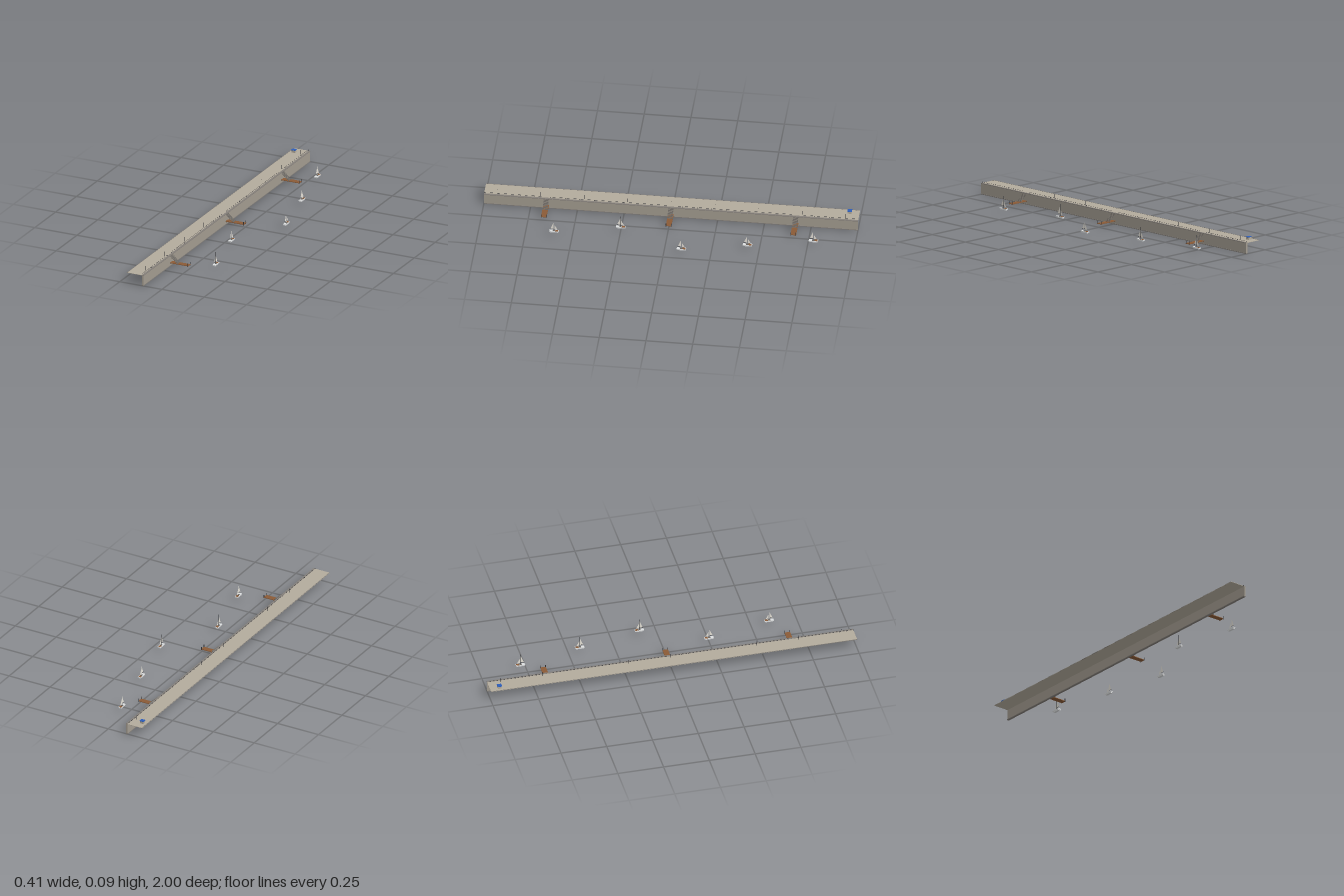
import * as THREE from 'three';

const mat = (name, color, side = THREE.FrontSide) => {
  const m = new THREE.MeshStandardMaterial({ color, side });
  m.name = name;
  return m;
};

export function createModel() {
  const root = new THREE.Group();
  root.name = 'harbourQuay';
  const stone = mat('quay stone', 0xb3ab9c);
  const wallStone = mat('wall stone', 0xa39c90);
  const coping = mat('coping stone', 0x85807a);
  const iron = mat('dark iron', 0x35363a);
  const wood = mat('pier wood', 0x8a5a36);
  const stepStone = mat('step stone', 0x6f6b66);
  const blue = mat('kiosk blue', 0x2c5cb8);
  const white = mat('hull white', 0xdcdedf);
  const canvas = mat('sail canvas', 0xe6e2d8, THREE.DoubleSide);

  const add = (parent, name, geometry, material, x = 0, y = 0, z = 0) => {
    const mesh = new THREE.Mesh(geometry, material);
    mesh.name = name;
    mesh.position.set(x, y, z);
    parent.add(mesh);
    return mesh;
  };
  // Box given by its extents along x and y, and its centre and length along z
  const box = (parent, name, material, x0, x1, y0, y1, z, depth) =>
    add(parent, name, new THREE.BoxGeometry(x1 - x0, y1 - y0, depth), material, (x0 + x1) / 2, (y0 + y1) / 2, z);
  const rod = (parent, name, material, r, x, y0, y1, z) =>
    add(parent, name, new THREE.CylinderGeometry(r, r, y1 - y0, 8), material, x, (y0 + y1) / 2, z);
  const group = (name, x, z) => {
    const g = new THREE.Group();
    g.name = name;
    g.position.set(x, 0, z);
    root.add(g);
    return g;
  };

  // Promenade and quay wall
  box(root, 'promenade', stone, -0.207, -0.116, 0.0585, 0.0605, 0, 2);
  box(root, 'promenadeBackKerb', coping, -0.207, -0.2045, 0.0585, 0.0612, 0, 2);
  box(root, 'quayWall', wallStone, -0.118, -0.11, 0.003, 0.059, 0, 2);
  box(root, 'wallFooting', coping, -0.12, -0.108, 0, 0.004, 0, 2);
  box(root, 'wallCoping', coping, -0.119, -0.108, 0.0585, 0.0615, 0, 2);

  // Low railing along the quay edge, open where the stairs go down
  const stairs = [-0.667, 0, 0.667];
  const railX = -0.121;
  [[-1, -0.69], [-0.645, -0.022], [0.022, 0.645], [0.69, 1]].forEach(([a, b]) => {
    box(root, 'railing', iron, railX - 0.0004, railX + 0.0004, 0.0655, 0.0663, (a + b) / 2, b - a);
    const count = Math.round((b - a) / 0.04);
    for (let i = 0; i <= count; i++) {
      box(root, 'railingPost', iron, railX - 0.0004, railX + 0.0004, 0.06, 0.066, a + 0.001 + (b - a - 0.002) * i / count, 0.0008);
    }
  });

  // Street lamps
  for (let i = -4; i <= 4; i++) {
    const lamp = group('streetLamp', -0.132, i * 0.233);
    rod(lamp, 'lampPost', iron, 0.0008, 0, 0.06, 0.083, 0);
    add(lamp, 'lampHead', new THREE.SphereGeometry(0.0016, 10, 8), iron, 0, 0.0835, 0);
  }

  // Kiosk at the far end
  const kiosk = group('kiosk', -0.18, -0.948);
  box(kiosk, 'kioskWalls', stone, -0.0105, 0.0105, 0.06, 0.0735, 0, 0.02);
  box(kiosk, 'kioskRoof', blue, -0.0125, 0.0125, 0.0735, 0.0755, 0, 0.024);

  // Stairs and jetties
  stairs.forEach((z) => {
    const jetty = group('jetty', 0, z);
    for (let i = 0; i < 9; i++) {
      const x = -0.109 + i * 0.0047;
      const y = 0.057 - i * 0.0043;
      box(jetty, 'stairTread', stepStone, x, x + 0.0065, y - 0.0016, y, 0, 0.028);
    }
    box(jetty, 'jettyDeck', wood, -0.11, -0.002, 0.0175, 0.0205, 0, 0.03);
    [-1, 1].forEach((s) => {
      rod(jetty, 'innerPile', iron, 0.0015, -0.1065, 0.014, 0.018, s * 0.0125);
      rod(jetty, 'outerPile', iron, 0.0017, -0.004, 0.0145, 0.033, s * 0.0135);
    });
  });

  // Sailing boats moored in a staggered line
  const triangle = (points) => {
    const shape = new THREE.Shape(points.map(([z, y]) => new THREE.Vector2(z, y)));
    return new THREE.ShapeGeometry(shape).rotateY(-Math.PI / 2);
  };
  const mainSail = triangle([[0.002, 0.04], [0.019, 0.04], [0.002, 0.08]]);
  const jib = triangle([[-0.018, 0.036], [-0.002, 0.036], [-0.002, 0.064]]);
  [[0.042, -0.78], [0.12, -0.437], [0.197, -0.093], [0.042, 0.25], [0.12, 0.597]].forEach(([x, z]) => {
    const boat = group('sailingBoat', x, z);
    box(boat, 'lowerHull', white, -0.0065, 0.0065, 0.018, 0.0235, 0, 0.042);
    box(boat, 'upperHull', white, -0.0085, 0.0085, 0.0225, 0.0265, 0, 0.05);
    box(boat, 'boatDeck', wood, -0.0065, 0.0065, 0.0265, 0.0272, -0.014, 0.016);
    box(boat, 'cabinTop', stepStone, -0.005, 0.005, 0.0265, 0.0285, 0.001, 0.012);
    rod(boat, 'mast', iron, 0.0006, 0, 0.026, 0.092, 0);
    box(boat, 'boom', iron, -0.0004, 0.0004, 0.0385, 0.0395, 0.01, 0.02);
    add(boat, 'mainSail', mainSail, canvas);
    add(boat, 'jib', jib, canvas);
  });

  return root;
}
